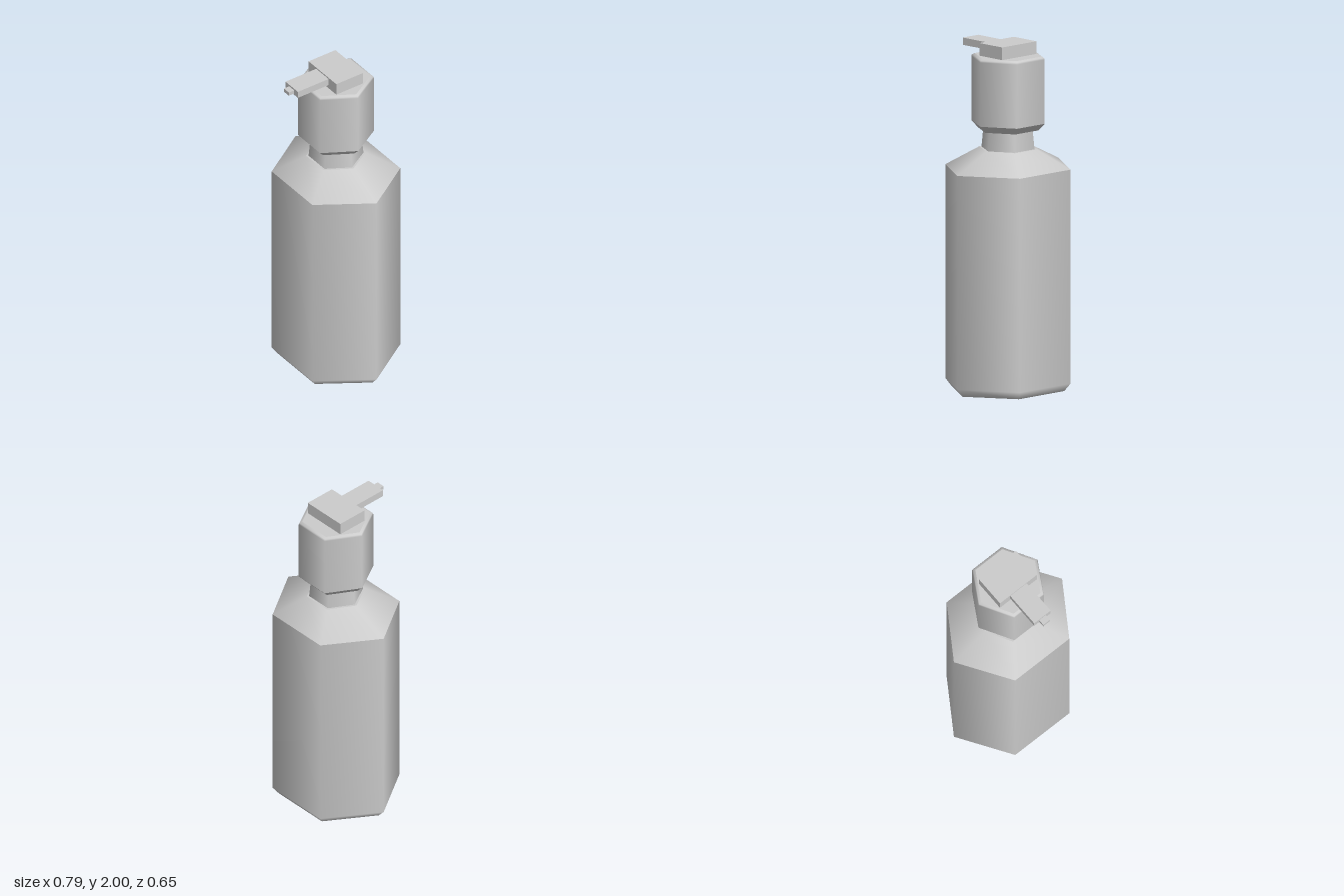
import * as THREE from 'three';

const AXIS_Z = -0.02; // bottle axis

export function createModel() {
  const group = new THREE.Group();
  group.name = 'pumpBottle';
  const plastic = new THREE.MeshStandardMaterial({ color: 0xcccccc });
  plastic.name = 'grey plastic';

  const add = (name, geometry, x, y, z) => {
    const mesh = new THREE.Mesh(geometry, plastic);
    mesh.name = name;
    mesh.position.set(x, y, z);
    group.add(mesh);
  };

  // Six-sided smooth lathe with corners on the x axis; repeated points make a crease
  const hexLathe = (name, profile, depth = 1) => {
    const points = profile.map(([r, y]) => new THREE.Vector2(r, y));
    const geometry = new THREE.LatheGeometry(points, 6, Math.PI / 6, Math.PI * 2);
    geometry.scale(1, 1, depth);
    add(name, geometry, 0, 0, AXIS_Z);
  };

  // Box given by its extents along each axis
  const block = (name, [x0, x1], [y0, y1], [z0, z1]) =>
    add(name, new THREE.BoxGeometry(x1 - x0, y1 - y0, z1 - z0),
      (x0 + x1) / 2, (y0 + y1) / 2, (z0 + z1) / 2);

  // Flattened body with a chamfered base
  hexLathe('body', [
    [0, 0], [0.357, 0], [0.357, 0], [0.397, 0.045], [0.397, 1.28],
  ], 0.89);

  // Shoulder blends from the flattened body to a regular hexagon at the neck
  const shoulder = new THREE.LatheGeometry(
    [[0.397, 1.28], [0.17, 1.39], [0.17, 1.39], [0, 1.39]].map(([r, y]) => new THREE.Vector2(r, y)),
    6, Math.PI / 6, Math.PI * 2);
  const pos = shoulder.attributes.position;
  const nor = shoulder.attributes.normal;
  const n = new THREE.Vector3();
  for (let i = 0; i < pos.count; i++) {
    if (pos.getY(i) > 1.3) continue;
    pos.setZ(i, pos.getZ(i) * 0.89);
    // Soften the join with the body side
    n.fromBufferAttribute(nor, i);
    n.y *= 0.5;
    n.normalize();
    nor.setXYZ(i, n.x, n.y, n.z);
  }
  add('shoulder', shoulder, 0, 0, AXIS_Z);

  hexLathe('neck', [[0.157, 1.385], [0.145, 1.51]]);

  // Pump collar with chamfered rims
  hexLathe('collar', [
    [0, 1.5], [0.178, 1.5], [0.178, 1.5], [0.217, 1.54], [0.217, 1.54],
    [0.217, 1.91], [0.212, 1.92], [0.197, 1.927], [0.197, 1.927], [0, 1.927],
  ]);

  // Pump head, spout and nozzle tip
  block('pumpHead', [-0.136, 0.135], [1.925, 2], [-0.113, 0.074]);
  block('spout', [-0.061, 0.06], [1.95, 1.992], [0.07, 0.288]);
  block('nozzleTip', [-0.025, 0.024], [1.959, 1.981], [0.28, 0.325]);

  return group;
}
